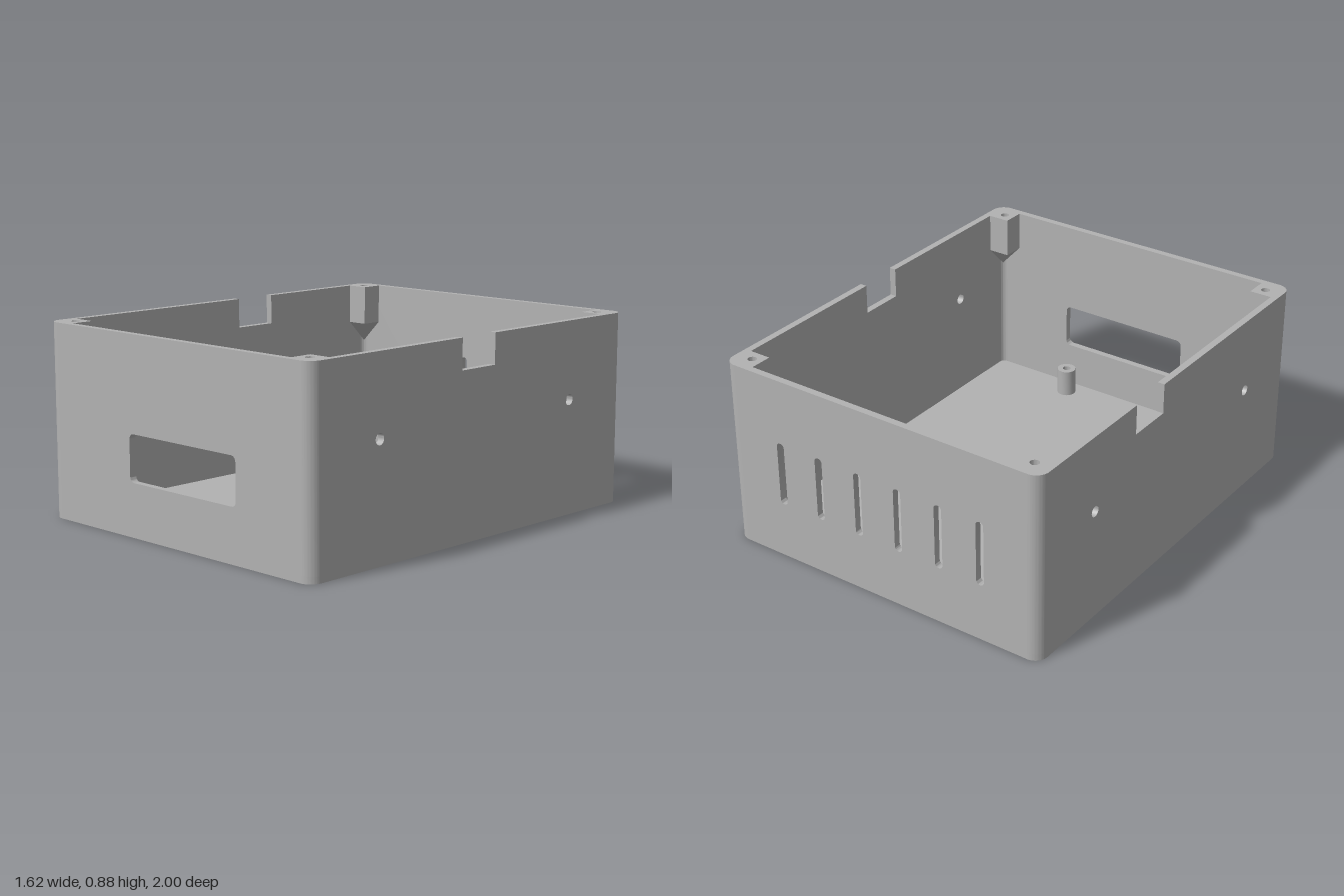
import * as THREE from 'three';
import { toCreasedNormals } from 'three/addons/utils/BufferGeometryUtils.js';

const W = 0.81, D = 1, H = 0.875;      // half width, half depth, height
const T = 0.032, FLOOR = 0.03;         // wall and floor thickness
const R = 0.06, RI = R - T;            // outer and inner corner radius
const CX = W - R, CZ = D - R;          // corner arc centres

const grey = new THREE.MeshStandardMaterial({ color: 0xb2b2b2 });
grey.name = 'grey plastic';

const extrude = (shape, depth) =>
  new THREE.ExtrudeGeometry(shape, { depth, bevelEnabled: false, curveSegments: 10 });

function mesh(name, geo) {
  const m = new THREE.Mesh(toCreasedNormals(geo, 0.6), grey);
  m.name = name;
  return m;
}

// Extrude a plan shape upward from height y0 to y1
const upright = (shape, y0, y1) => extrude(shape, y1 - y0).rotateX(-Math.PI / 2).translate(0, y0, 0);

const circle = (x, y, r) => new THREE.Path().absarc(x, y, r, 0, Math.PI * 2, true);

// Rounded rectangle outline, also used for slots
function roundedRect(path, x0, y0, x1, y1, r) {
  path.absarc(x1 - r, y0 + r, r, -Math.PI / 2, 0, false);
  path.absarc(x1 - r, y1 - r, r, 0, Math.PI / 2, false);
  path.absarc(x0 + r, y1 - r, r, Math.PI / 2, Math.PI, false);
  path.absarc(x0 + r, y0 + r, r, Math.PI, Math.PI * 1.5, false);
  path.closePath();
  return path;
}

// Flat wall panel with optional notch [start, end] in the top edge
function panel(half, holes, notch) {
  const s = new THREE.Shape();
  s.moveTo(-half, FLOOR);
  s.lineTo(half, FLOOR);
  s.lineTo(half, H);
  if (notch) {
    s.lineTo(notch[1], H);
    s.lineTo(notch[1], 0.738);
    s.lineTo(notch[0], 0.738);
    s.lineTo(notch[0], H);
  }
  s.lineTo(-half, H);
  s.closePath();
  s.holes.push(...holes);
  return extrude(s, T);
}

// Rounded wall corner with a screw post tapering into it
function corner() {
  const g = new THREE.Group();
  g.name = 'corner';

  const arc = new THREE.Shape();
  arc.absarc(0, 0, R, 0, Math.PI / 2, false);
  arc.absarc(0, 0, RI, Math.PI / 2, 0, true);
  arc.closePath();
  g.add(mesh('cornerWall', upright(arc, FLOOR, H)));

  const a = -0.075, postBottom = H - 0.185, tip = H - 0.285;
  const outline = () => {
    const s = new THREE.Shape();
    s.moveTo(a, a);
    s.lineTo(RI, a);
    s.absarc(0, 0, RI, 0, Math.PI / 2, false);
    s.lineTo(a, RI);
    s.closePath();
    return s;
  };
  const post = outline();
  post.holes.push(circle(-0.025, -0.025, 0.02));
  g.add(mesh('screwPost', upright(post, postBottom, H)));

  // Pull the lower ring into the wall corner
  const taper = upright(outline(), tip, postBottom);
  const p = taper.attributes.position;
  const c = RI * 0.72;
  for (let i = 0; i < p.count; i++) {
    if (p.getY(i) < tip + 0.001) {
      p.setX(i, c + (p.getX(i) - c) * 0.02);
      p.setZ(i, -c + (p.getZ(i) + c) * 0.02);
    }
  }
  g.add(mesh('postTaper', taper));
  return g;
}

export function createModel() {
  const model = new THREE.Group();
  model.name = 'enclosure';

  // Floor
  model.add(mesh('floor', upright(roundedRect(new THREE.Shape(), -W, -D, W, D, R), 0, FLOOR)));

  // Front wall with window
  const front = mesh('frontWall', panel(CX, [roundedRect(new THREE.Path(), -0.27, 0.24, 0.387, 0.45, 0.025)]));
  front.position.z = D - T;
  model.add(front);

  // Back wall with six vent slots
  const slots = [];
  for (let i = 0; i < 6; i++) {
    const x = (i - 2.5) * 0.208;
    slots.push(roundedRect(new THREE.Path(), x - 0.019, 0.268, x + 0.019, 0.57, 0.0185));
  }
  const back = mesh('backWall', panel(CX, slots));
  back.position.z = -D;
  model.add(back);

  // Side walls with two small holes and a cable notch each
  const sides = [['leftWall', W - T, [-0.117, 0.093]], ['rightWall', -W, [0.102, 0.314]]];
  for (const [name, x, notch] of sides) {
    const holes = [-0.613, 0.61].map(u => circle(u, 0.522, 0.025));
    const side = mesh(name, panel(CZ, holes, notch));
    side.rotation.y = Math.PI / 2;
    side.position.x = x;
    model.add(side);
  }

  // Four corners
  [[1, -1], [-1, -1], [-1, 1], [1, 1]].forEach(([sx, sz], k) => {
    const c = corner();
    c.rotation.y = k * Math.PI / 2;
    c.position.set(sx * CX, 0, sz * CZ);
    model.add(c);
  });

  // Board standoffs
  const ring = new THREE.Shape();
  ring.absarc(0, 0, 0.045, 0, Math.PI * 2, false);
  ring.holes.push(circle(0, 0, 0.019));
  for (const x of [-0.324, 0.324]) {
    for (const z of [-0.288, 0.88]) {
      const s = mesh('standoff', upright(ring, FLOOR, FLOOR + 0.13));
      s.position.set(x, 0, z);
      model.add(s);
    }
  }
  return model;
}
